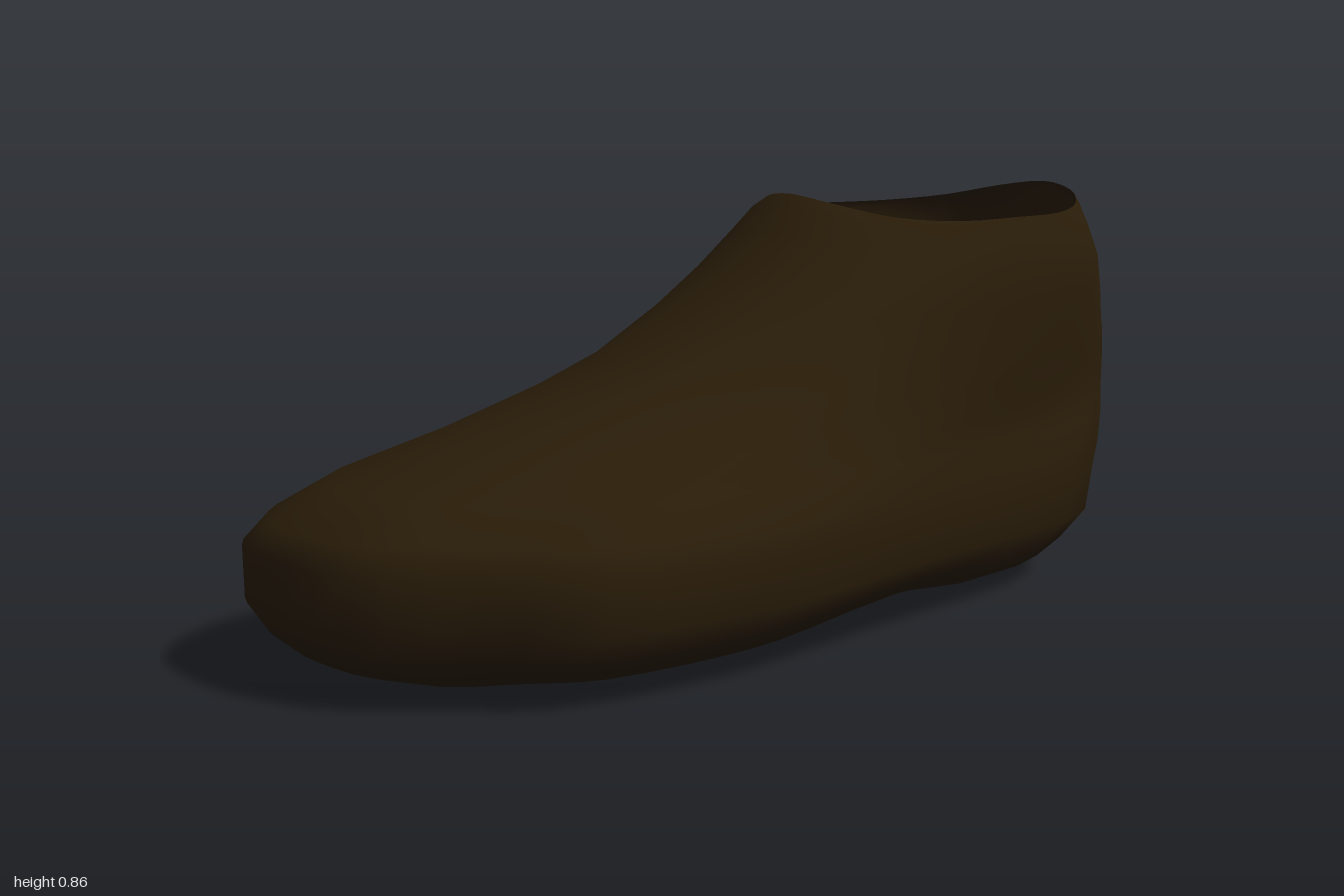
import * as THREE from 'three';

const SEGMENTS = 48;

// Widest plan outline of the foot, from the toe round by +x to the heel and back
const footPlan = [
  [-0.12, 1], [0.1, 0.95], [0.26, 0.77], [0.395, 0.59],
  [0.425, 0.3], [0.41, 0.06], [0.335, -0.4], [0.215, -0.85],
  [-0.1, -1], [-0.285, -0.84], [-0.33, -0.52], [-0.37, 0],
  [-0.43, 0.35], [-0.42, 0.7], [-0.365, 0.89], [-0.25, 0.985],
];

// Levels from sole to rim: height, heel z, toe z, -x reach, +x reach, roundness, rim lift
const levels = [
  [0.003, -0.70, 0.78, 0.27, 0.22, 0, 0],
  [0.05, -0.83, 0.92, 0.34, 0.345, 0, 0],
  [0.09, -0.89, 0.965, 0.385, 0.385, 0, 0],
  [0.15, -0.955, 1, 0.425, 0.425, 0, 0],
  [0.25, -0.98, 1, 0.43, 0.42, 0, 0],
  [0.30, -0.99, 0.96, 0.425, 0.41, 0.1, 0],
  [0.36, -1, 0.85, 0.405, 0.375, 0.25, 0],
  [0.42, -0.99, 0.65, 0.38, 0.345, 0.45, 0],
  [0.49, -0.98, 0.45, 0.348, 0.333, 0.6, 0],
  [0.55, -0.97, 0.30, 0.338, 0.325, 0.7, 0],
  [0.64, -0.95, 0.15, 0.327, 0.318, 0.8, 0],
  [0.71, -0.935, 0.045, 0.318, 0.312, 0.85, 0.005],
  [0.77, -0.905, -0.045, 0.31, 0.295, 0.92, 0.025],
  [0.805, -0.885, -0.095, 0.298, 0.285, 0.97, 0.042],
  [0.82, -0.875, -0.13, 0.286, 0.28, 1, 0.048],
];

// One closed ring of points at a given level
function ring([y, heel, toe, minX, maxX, roundness, lift]) {
  // The ankle is an oval with a squarer back that rounds off at the rim
  const squareness = 0.8 + 0.2 * roundness ** 8;
  const points = footPlan.map(([px, pz], i) => {
    const angle = (i / footPlan.length) * Math.PI * 2;
    const sin = Math.sin(angle);
    const cos = Math.cos(angle);
    const power = cos < 0 ? squareness : 1;
    const ovalX = Math.sign(sin) * Math.abs(sin) ** power;
    const ovalZ = Math.sign(cos) * Math.abs(cos) ** power;
    const footX = px > 0 ? px / 0.425 : px / 0.43;
    const x = THREE.MathUtils.lerp(footX, ovalX, roundness);
    const z = THREE.MathUtils.lerp(pz, ovalZ, roundness);
    return new THREE.Vector3(
      x * (x > 0 ? maxX : minX),
      y + lift * (z ** 4 - 0.25 * x * Math.max(0, z)),
      heel + ((z + 1) / 2) * (toe - heel),
    );
  });
  const curve = new THREE.CatmullRomCurve3(points, true, 'catmullrom', 0.5);
  return Array.from({ length: SEGMENTS }, (_, i) => {
    const p = curve.getPoint(i / SEGMENTS);
    // Raised arch between heel and ball, much higher along the inner (-x) side
    const along = Math.exp(-(((p.z + 0.17) / 0.28) ** 2));
    const inner = THREE.MathUtils.smoothstep(-p.x, -0.15, 0.27);
    p.y += along * 0.04 * Math.max(0, 1 - y / 0.2);
    p.y += along * inner * 0.1 * Math.max(0, 1 - y / 0.4);
    return p;
  });
}

function shellGeometry() {
  const positions = [];
  const index = [];
  const rings = levels.map(ring);

  // Sole: the lowest ring drawn in towards its middle line
  const inner = rings[0].map((p) => new THREE.Vector3(p.x * 0.3 - 0.02, p.y, p.z * 0.9));
  rings.unshift(inner);
  rings.forEach((r) => r.forEach((p) => positions.push(p.x, p.y, p.z)));

  // Walls
  for (let r = 0; r < rings.length - 1; r++) {
    for (let i = 0; i < SEGMENTS; i++) {
      const j = (i + 1) % SEGMENTS;
      const a = r * SEGMENTS + i;
      const b = r * SEGMENTS + j;
      index.push(a, b, b + SEGMENTS, a, b + SEGMENTS, a + SEGMENTS);
    }
  }

  // Strip closing the middle of the sole, pairing the two sides
  for (let i = 0; i < SEGMENTS / 2; i++) {
    const a = i;
    const b = i + 1;
    const c = (SEGMENTS - i) % SEGMENTS;
    const d = SEGMENTS - i - 1;
    if (a !== c) index.push(a, c, b);
    if (b !== d) index.push(b, c, d);
  }

  const geometry = new THREE.BufferGeometry();
  geometry.setAttribute('position', new THREE.Float32BufferAttribute(positions, 3));
  geometry.setIndex(index);
  geometry.computeVertexNormals();
  return geometry;
}

export function createModel() {
  const group = new THREE.Group();
  group.name = 'ankleShoe';

  const darkBrown = new THREE.MeshStandardMaterial({ color: 0x2a1d09, side: THREE.DoubleSide });
  darkBrown.name = 'darkBrown';

  // Open shoe shell with sole, upper and ankle collar
  const shell = new THREE.Mesh(shellGeometry(), darkBrown);
  shell.name = 'shoeShell';
  group.add(shell);
  return group;
}
